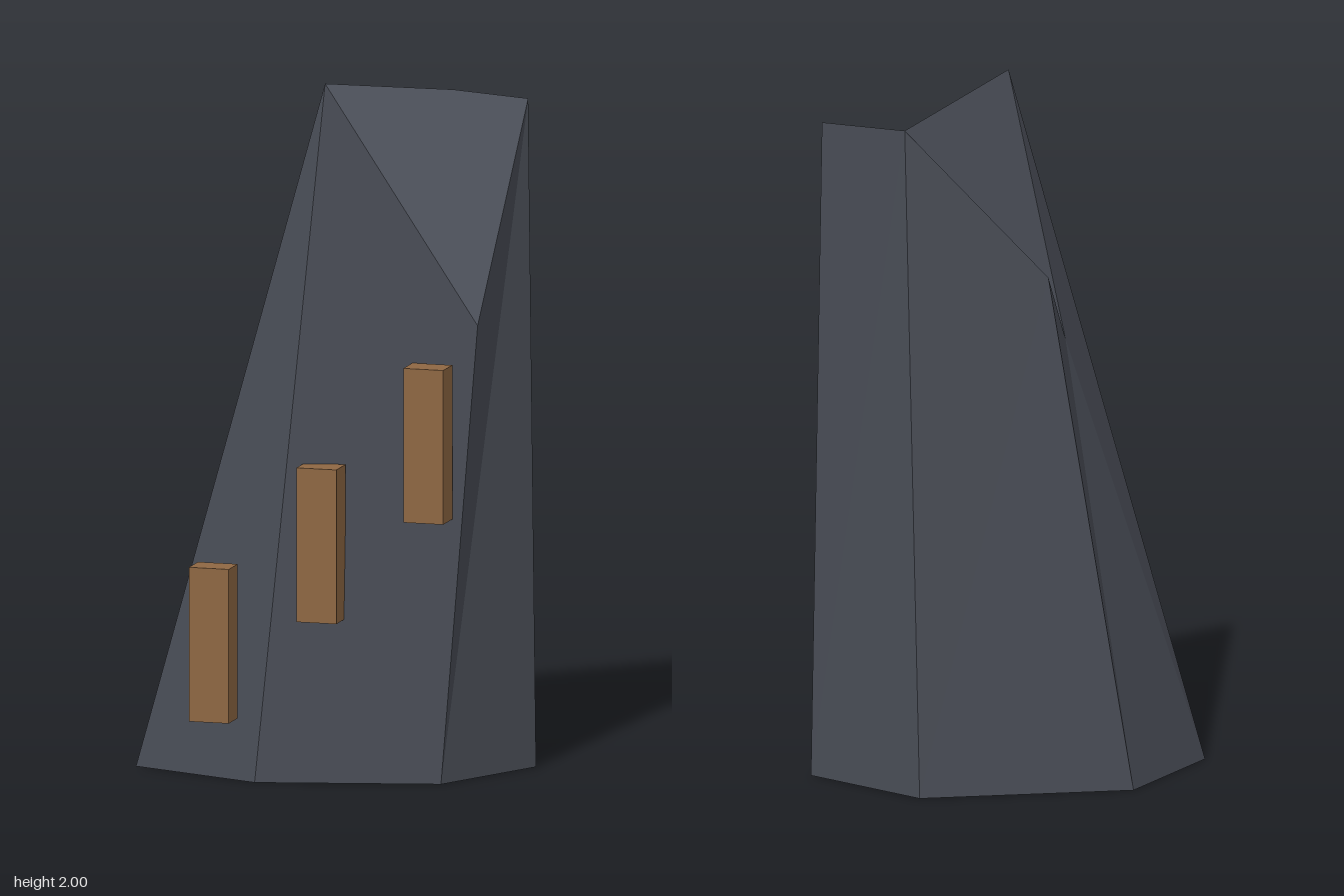
import * as THREE from 'three';

// Faceted stone: a six-sided base ring joined to an uneven top ring
const BASE = [
  [-0.57, 0, 0.04], [-0.22, 0, 0.28], [0.31, 0, 0.28],
  [0.565, 0, -0.01], [0.295, 0, -0.325], [-0.32, 0, -0.305],
];
const TOP = [
  [-0.16, 1.26, -0.04], [-0.025, 2, 0.175], [0.41, 1.31, 0.2],
  [0.54, 1.92, -0.06], [0.32, 1.92, -0.19], [-0.09, 1.48, -0.2],
];

function facets(triangles) {
  const geometry = new THREE.BufferGeometry();
  geometry.setAttribute('position', new THREE.Float32BufferAttribute(triangles.flat(2), 3));
  geometry.computeVertexNormals();
  return geometry;
}

// Triangle fan over a ring, starting from the given corner
function fan(ring, start) {
  const at = (i) => ring[(start + i) % ring.length];
  return Array.from({ length: ring.length - 2 }, (_, i) => [at(0), at(i + 1), at(i + 2)]);
}

// Give an uneven polygon a single shared normal (its area-weighted mean)
function evenShading(geometry, ring) {
  const sum = new THREE.Vector3();
  ring.forEach((p, i) => {
    const q = ring[(i + 1) % ring.length];
    sum.add(new THREE.Vector3(...p).cross(new THREE.Vector3(...q)));
  });
  sum.normalize();
  const normals = geometry.attributes.normal;
  for (let i = 0; i < normals.count; i++) normals.setXYZ(i, sum.x, sum.y, sum.z);
  return geometry;
}

export function createModel() {
  const model = new THREE.Group();
  model.name = 'rockWithPegs';

  const stone = new THREE.MeshStandardMaterial({ color: 0x484c55 });
  stone.name = 'slate grey';
  const wood = new THREE.MeshStandardMaterial({ color: 0x8e6743 });
  wood.name = 'brown wood';

  const add = (name, geometry, material) => {
    const mesh = new THREE.Mesh(geometry, material);
    mesh.name = name;
    model.add(mesh);
    return mesh;
  };

  // Rock sides
  const sides = [];
  BASE.forEach((b, i) => {
    const j = (i + 1) % BASE.length;
    sides.push([b, BASE[j], TOP[j]], [b, TOP[j], TOP[i]]);
  });
  add('rockSides', facets(sides), stone);

  // Broken top, with its ridge running from the peak to the back corner
  add('rockTop', evenShading(facets(fan(TOP, 4)), TOP), stone);

  // Flat underside
  add('rockBottom', facets(fan([...BASE].reverse(), 0)), stone);

  // Wooden pegs climbing across the front face
  const pegShape = new THREE.BoxGeometry(0.118, 0.445, 0.089);
  [[-0.338, 0.4], [-0.032, 0.69], [0.272, 0.98]].forEach(([x, y], i) => {
    const peg = add(`peg${i + 1}`, pegShape, wood);
    peg.position.set(x, y, 0.267);
    peg.rotation.y = -0.24;
  });

  return model;
}
